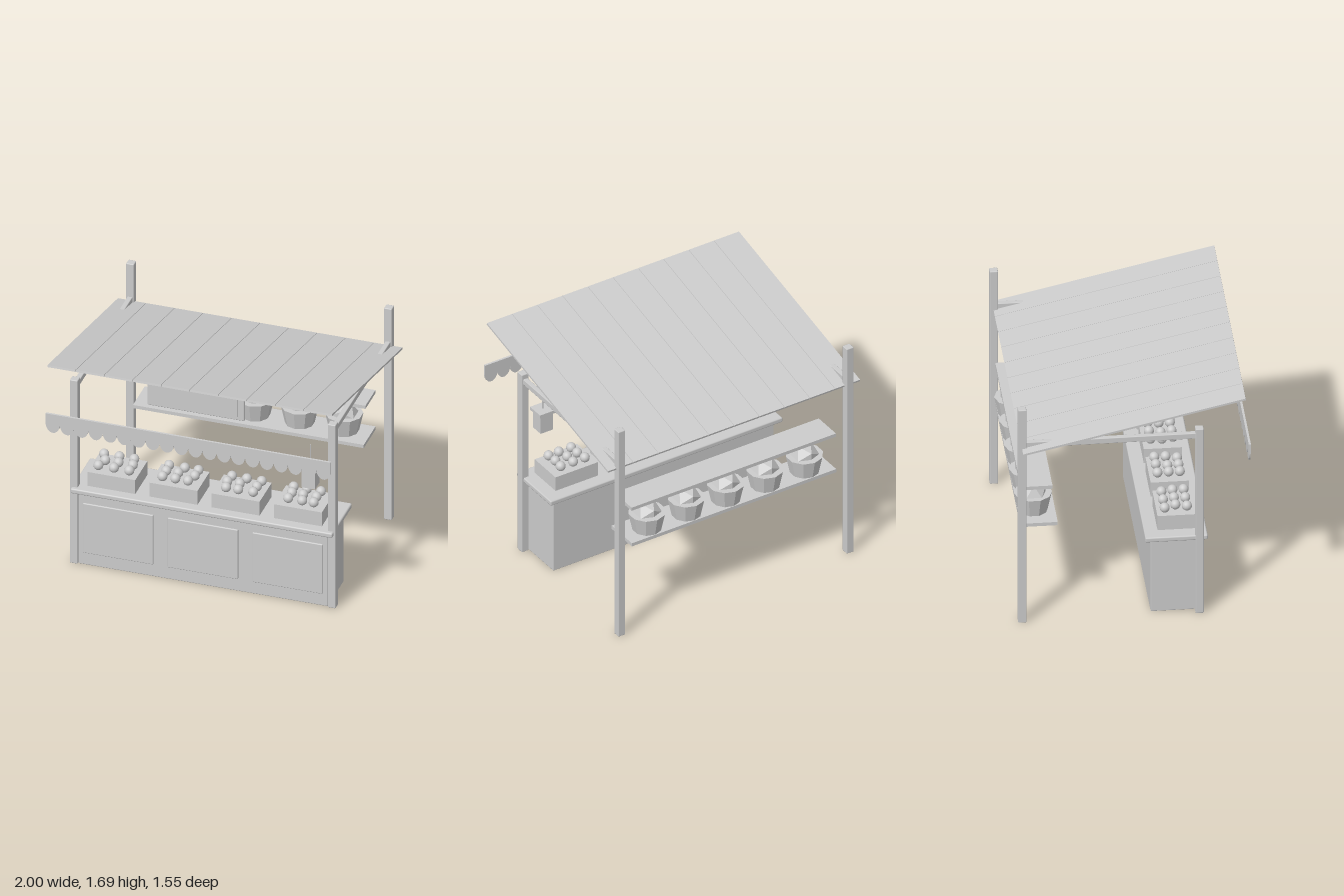
import * as THREE from 'three';
import { RoundedBoxGeometry } from 'three/addons/geometries/RoundedBoxGeometry.js';

const grey = new THREE.MeshStandardMaterial({ color: 0xcccccc });
grey.name = 'plain grey';

export function createModel() {
  const model = new THREE.Group();
  model.name = 'marketStall';

  function add(name, geometry, x, y, z, parent = model) {
    const mesh = new THREE.Mesh(geometry, grey);
    mesh.name = name;
    mesh.position.set(x, y, z);
    parent.add(mesh);
    return mesh;
  }
  // Box given by its limits, optionally with a small bevel
  function box(name, [x0, x1], [y0, y1], [z0, z1], bevel = 0) {
    const size = [x1 - x0, y1 - y0, z1 - z0];
    const geometry = bevel
      ? new RoundedBoxGeometry(...size, 1, bevel)
      : new THREE.BoxGeometry(...size);
    return add(name, geometry, (x0 + x1) / 2, (y0 + y1) / 2, (z0 + z1) / 2);
  }

  // Posts and side beams
  for (const side of [-1, 1]) {
    const x = side * 0.905;
    box('frontPost', [x - 0.028, x + 0.028], [0.005, 1.433], [0.415, 0.471], 0.006);
    box('backPost', [x - 0.028, x + 0.028], [0.005, 1.653], [-0.772, -0.716], 0.006);
    box('sideBeam', [x - 0.018, x + 0.018], [1.355, 1.397], [-0.73, 0.43], 0.005);
  }

  // Sloping roof of ten planks
  const roof = new THREE.Group();
  roof.name = 'roof';
  roof.position.set(0, 1.515, 0);
  roof.rotation.x = -0.225;
  model.add(roof);
  const plank = new THREE.BoxGeometry(0.197, 0.014, 1.528);
  for (let i = 0; i < 10; i++) add('roofPlank', plank, -0.9 + i * 0.2, 0, 0, roof);

  // Scalloped valance
  box('valanceBoard', [-1, 1], [1.262, 1.336], [0.764, 0.779]);
  const half = new THREE.Shape();
  half.absellipse(0, 0, 0.05, 0.07, Math.PI, Math.PI * 2, false);
  half.closePath();
  const scallop = new THREE.ExtrudeGeometry(half, { depth: 0.012, bevelEnabled: false, curveSegments: 14 });
  for (let i = 0; i < 20; i++) add('valanceScallop', scallop, -0.95 + i * 0.1, 1.263, 0.765);

  // Blank sign
  box('signBoard', [-0.34, 0.34], [1.435, 1.63], [0.59, 0.614], 0.006);
  box('signPanel', [-0.297, 0.297], [1.465, 1.602], [0.608, 0.623]);

  // Counter with three raised panels
  box('counterBody', [-0.875, 0.875], [0.005, 0.565], [0.12, 0.46], 0.006);
  box('counterTop', [-0.92, 0.92], [0.565, 0.602], [0.08, 0.5], 0.01);
  for (const x of [-0.595, 0, 0.595]) {
    box('counterPanel', [x - 0.247, x + 0.247], [0.1, 0.485], [0.45, 0.47], 0.006);
  }

  // Crates topped with loosely placed fruit
  let seed = 7;
  const jitter = (amount) => {
    seed = (seed * 16807) % 2147483647;
    return (seed / 2147483647 - 0.5) * 2 * amount;
  };
  const fruit = new THREE.SphereGeometry(0.034, 14, 10);
  for (const x of [-0.655, -0.218, 0.218, 0.655]) {
    box('crate', [x - 0.168, x + 0.168], [0.6, 0.71], [0.172, 0.428]);
    for (let col = -1; col <= 1; col++) {
      for (let row = -1; row <= 1; row++) {
        add('fruit', fruit, x + col * 0.1 + jitter(0.018), 0.745, 0.3 + row * 0.075);
      }
    }
  }

  // Back shelves with pots
  box('lowerShelf', [-0.81, 0.81], [0.675, 0.7], [-0.745, -0.495]);
  box('upperShelf', [-0.81, 0.81], [0.96, 0.985], [-0.742, -0.53]);
  const pot = new THREE.CylinderGeometry(0.128, 0.1, 0.132, 10).toNonIndexed();
  pot.computeVertexNormals();
  const plant = new THREE.IcosahedronGeometry(0.1, 0);
  for (let i = -2; i <= 2; i++) {
    add('pot', pot, i * 0.312, 0.766, -0.642);
    add('potFilling', plant, i * 0.312, 0.828, -0.642);
  }

  // Hanging lantern
  box('lanternBody', [0.7, 0.796], [0.922, 1.062], [0.397, 0.493]);
  box('lanternCap', [0.686, 0.81], [1.06, 1.083], [0.383, 0.507]);
  add('lanternWire', new THREE.CylinderGeometry(0.004, 0.004, 0.16, 8), 0.748, 1.155, 0.445);

  return model;
}
